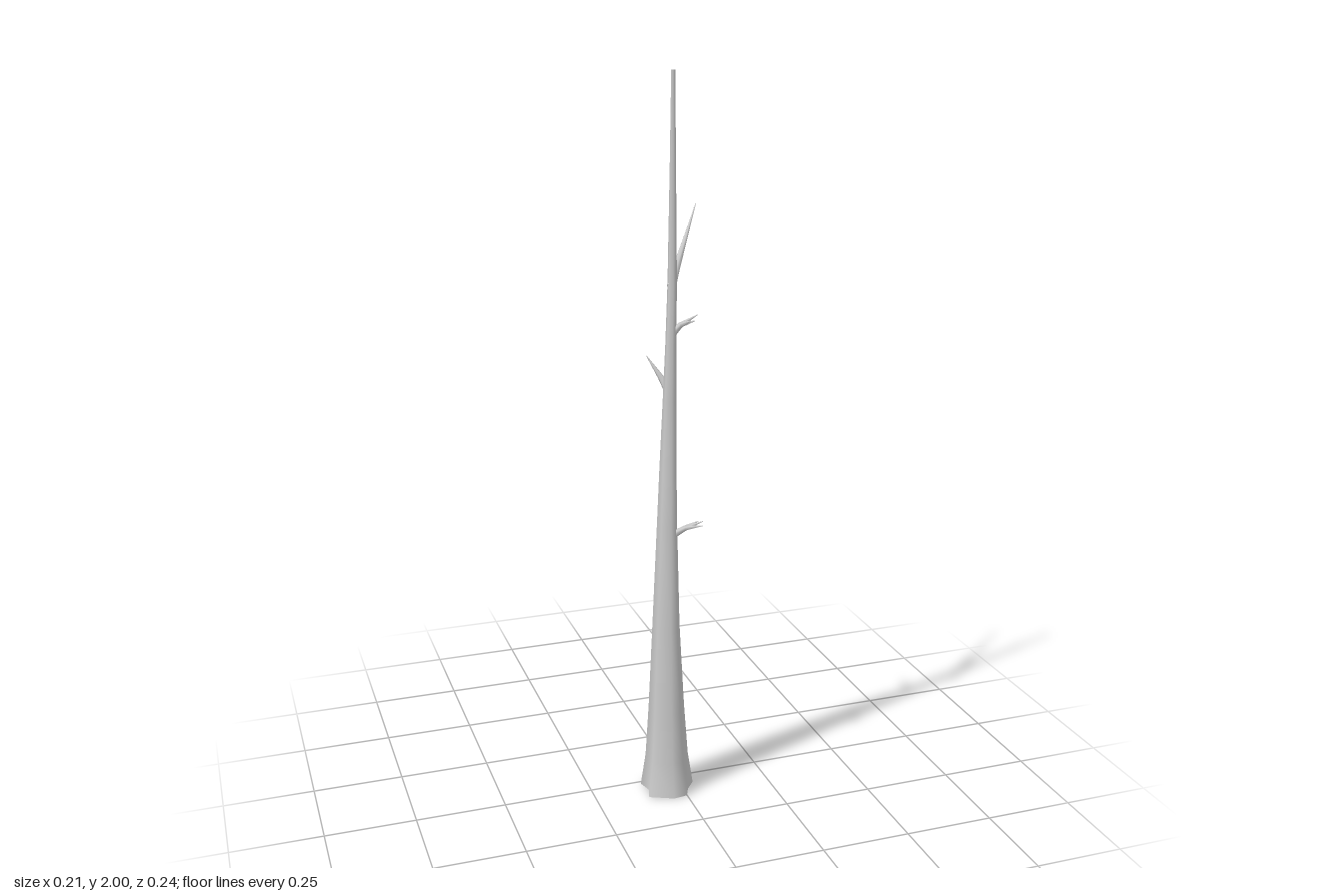
import * as THREE from 'three';

const material = new THREE.MeshStandardMaterial({ color: 0xcccccc, side: THREE.DoubleSide });

// Skin a stack of equal-length rings of Vector3 with smooth normals
function loft(rings, name) {
  const n = rings[0].length, index = [];
  for (let i = 0; i < rings.length - 1; i++) {
    for (let j = 0; j < n; j++) {
      const a = i * n + j, b = i * n + (j + 1) % n;
      index.push(a, a + n, b, b, a + n, b + n);
    }
  }
  const geometry = new THREE.BufferGeometry().setFromPoints(rings.flat());
  geometry.setIndex(index);
  geometry.computeVertexNormals();
  const mesh = new THREE.Mesh(geometry, material);
  mesh.name = name;
  return mesh;
}

// Tapered limb: stations are [x, y, z, radius]
function limb(name, stations, sides = 6) {
  const pts = stations.map(s => new THREE.Vector3(s[0], s[1], s[2]));
  const rings = stations.map((s, i) => {
    const dir = pts[Math.min(i + 1, pts.length - 1)].clone().sub(pts[Math.max(i - 1, 0)]).normalize();
    const u = new THREE.Vector3(0, 1, 0).cross(dir).normalize();
    const v = dir.clone().cross(u);
    return Array.from({ length: sides }, (_, k) => {
      const a = k / sides * Math.PI * 2;
      return pts[i].clone().addScaledVector(u, Math.cos(a) * s[3]).addScaledVector(v, -Math.sin(a) * s[3]);
    });
  });
  return loft(rings, name);
}

export function createModel() {
  const tree = new THREE.Group();
  tree.name = 'bareTree';

  // Root outline, as fractions of the section's width and depth
  const outline = [[0, 0.21], [0.08, 0.5], [0, 0.78], [0.45, 1], [0.72, 0.96],
    [0.82, 0.72], [1, 0.48], [0.82, 0.24], [0.72, 0.03], [0.45, 0]];
  // Trunk sections: y, xMin, xMax, zMin, zMax
  const sections = [
    [0, -0.105, 0.04, -0.018, 0.121],
    [0.1, -0.093, 0.024, -0.002, 0.107],
    [0.25, -0.084, 0.013, 0.003, 0.1],
    [0.5, -0.073, -0.001, 0.01, 0.093],
    [0.8, -0.06, -0.008, 0.018, 0.083],
    [0.95, -0.054, -0.01, 0.023, 0.079],
    [1.15, -0.048, -0.012, 0.04, 0.075],
    [1.3, -0.041, -0.013, 0.043, 0.07],
    [1.46, -0.035, -0.011, 0.045, 0.066],
    [1.75, -0.029, -0.013, 0.047, 0.061],
    [2, -0.025, -0.015, 0.049, 0.058],
  ];
  const trunkRings = sections.map(([y, x0, x1, z0, z1]) => outline.map(([u, v]) =>
    new THREE.Vector3(THREE.MathUtils.lerp(x0, x1, u), y, THREE.MathUtils.lerp(z0, z1, v))));
  tree.add(loft(trunkRings, 'trunk'));

  // Long upper branch
  tree.add(limb('longBranch', [
    [-0.025, 1.455, 0.052, 0.013], [-0.006, 1.49, 0.028, 0.011],
    [0.045, 1.56, -0.042, 0.006], [0.103, 1.64, -0.122, 0.001]]));

  // Splintered stubs: a short root with pointed prongs
  const stubs = [
    { name: 'upperStub', root: [-0.027, 1.325, 0.056], neck: [-0.004, 1.352, 0.06],
      tips: [[0.045, 1.377, 0.06], [0.035, 1.363, 0.068], [0.018, 1.367, 0.082]] },
    { name: 'lowerStub', root: [-0.022, 0.77, 0.058], neck: [0.008, 0.79, 0.068],
      tips: [[0.057, 0.807, 0.077], [0.05, 0.802, 0.096], [0.048, 0.804, 0.062]] },
    { name: 'backStub', root: [-0.03, 1.165, 0.055], neck: [-0.048, 1.21, 0.03],
      tips: [[-0.077, 1.262, 0], [-0.062, 1.232, 0.02]] },
  ];
  for (const { name, root, neck, tips } of stubs) {
    const stub = new THREE.Group();
    stub.name = name;
    for (const tip of tips) {
      stub.add(limb('prong', [[...root, 0.011], [...neck, 0.008], [...tip, 0.001]], 5));
    }
    tree.add(stub);
  }
  return tree;
}
